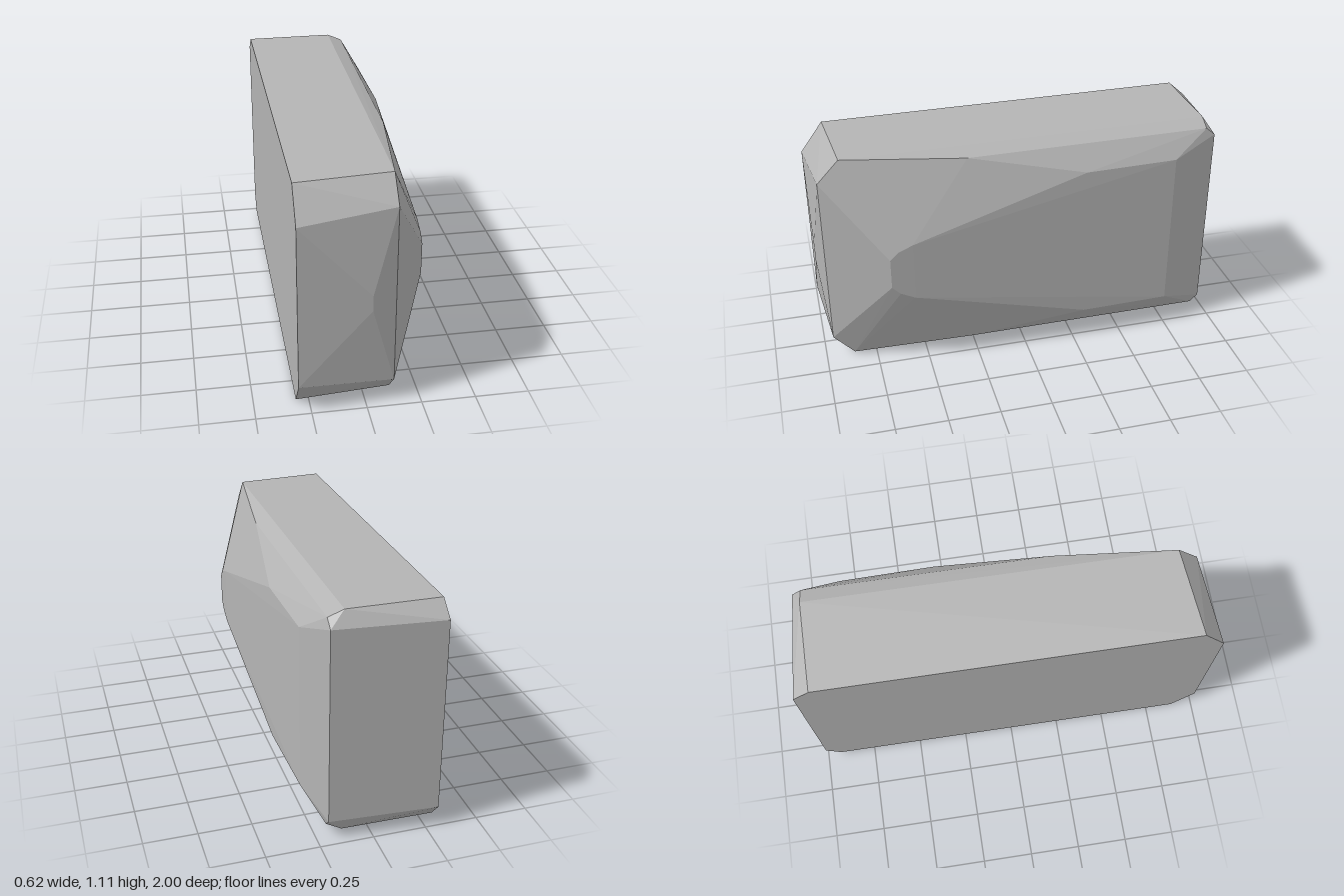
import * as THREE from 'three';
import { ConvexGeometry } from 'three/addons/geometries/ConvexGeometry.js';

export function createModel() {
  const group = new THREE.Group();
  group.name = 'chamferedBlock';
  const grey = new THREE.MeshStandardMaterial({ color: 0xb4b4b4 });
  grey.name = 'stone grey';

  // Corners by layer: x, then [y, z] pairs
  const layers = [
    // flat side outline with chamfered ends
    [-0.308, [[1.09, 0.89], [0.94, 1], [0.145, 1], [0, 0.89], [0.02, -0.93], [0.1, -1], [1.035, -1], [1.106, -0.92]]],
    // shallow ridge on the front end
    [0.018, [[0.585, 1], [0.51, 1]]],
    // front corners and the long upper and lower edges
    [0.128, [[0.98, 0.96], [0.112, 0.96], [1.092, 0.855], [0.005, 0.86], [1.108, -0.92], [0.02, -0.925]]],
    // bevel along the long edges and the back end
    [0.2, [[1.065, 0.27], [0.05, 0.27], [1.078, -0.915], [0.058, -0.92], [1.04, -0.96], [0.095, -0.96]]],
    // rim of the bulged side
    [0.27, [[0.963, -0.74], [0.167, -0.74]]],
    [0.279, [[0.957, -0.29], [0.164, -0.3]]],
    // rounded nose of the bulged side
    [0.307, [[0.63, 0.67], [0.48, 0.67], [0.67, 0.63], [0.44, 0.63], [0.7, 0.56], [0.405, 0.56]]],
  ];
  const points = layers.flatMap(([x, pairs]) => pairs.map(([y, z]) => new THREE.Vector3(x, y, z)));

  const block = new THREE.Mesh(new ConvexGeometry(points), grey);
  block.name = 'block';
  group.add(block);
  return group;
}
